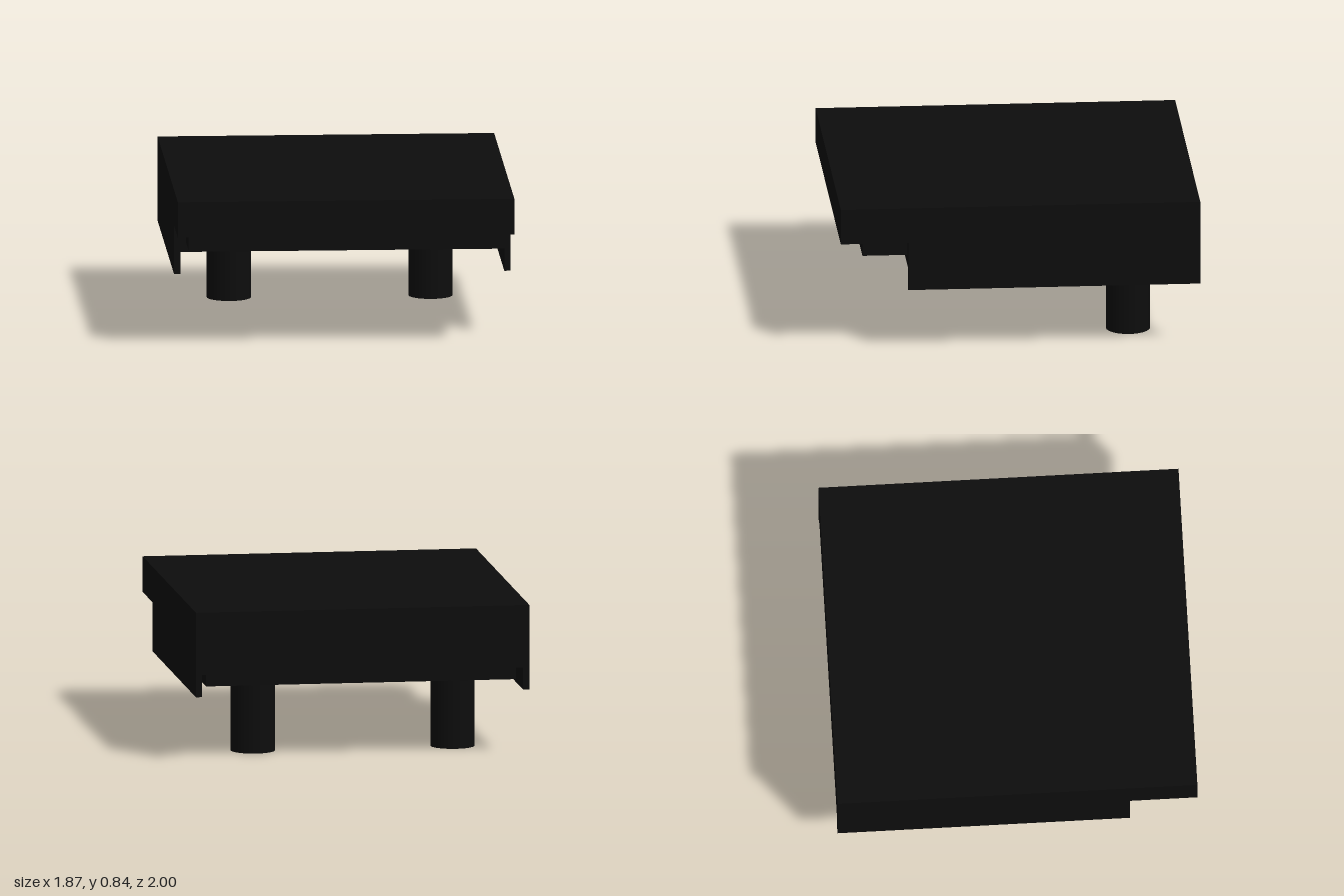
import * as THREE from 'three';

export function createModel() {
  const model = new THREE.Group();
  const black = new THREE.MeshStandardMaterial({ color: 0x0d0d0d });
  black.name = 'matte black';

  function add(name, geometry) {
    const mesh = new THREE.Mesh(geometry, black);
    mesh.name = name;
    model.add(mesh);
    return mesh;
  }

  // Box given by its lower and upper limits on each axis
  function box(name, [x0, x1], [y0, y1], [z0, z1]) {
    add(name, new THREE.BoxGeometry(x1 - x0, y1 - y0, z1 - z0))
      .position.set((x0 + x1) / 2, (y0 + y1) / 2, (z0 + z1) / 2);
  }

  // Stepped body: full top, inset front step and deeper main block
  box('topSlab', [-0.935, 0.935], [0.64, 0.84], [-1, 1]);
  box('frontStep', [-0.87, 0.87], [0.55, 0.64], [0.625, 0.875]);
  box('mainBlock', [-0.935, 0.935], [0.49, 0.64], [-1, 0.625]);

  // Rim across the underside, around the feet
  const rim = 0.03, low = [0.415, 0.49];
  box('backRim', [-0.87, 0.87], low, [-0.94, -0.94 + rim]);
  box('frontRim', [-0.87, 0.87], low, [0.02, 0.02 + rim]);

  for (const side of [-1, 1]) {
    const span = (a, b) => [side * a, side * b].sort((p, q) => p - q);
    box('sideSkirt', span(0.9, 0.935), [0.365, 0.49], [-1, 0.625]);
    box('sideRim', span(0.87 - rim, 0.87), low, [-0.94 + rim, 0.02]);

    // Round foot with a wider flange at its root
    add('foot', new THREE.CylinderGeometry(0.123, 0.123, 0.49, 40))
      .position.set(side * 0.56, 0.245, -0.625);
    add('footFlange', new THREE.CylinderGeometry(0.18, 0.18, 0.04, 40))
      .position.set(side * 0.56, 0.47, -0.625);
  }
  return model;
}
